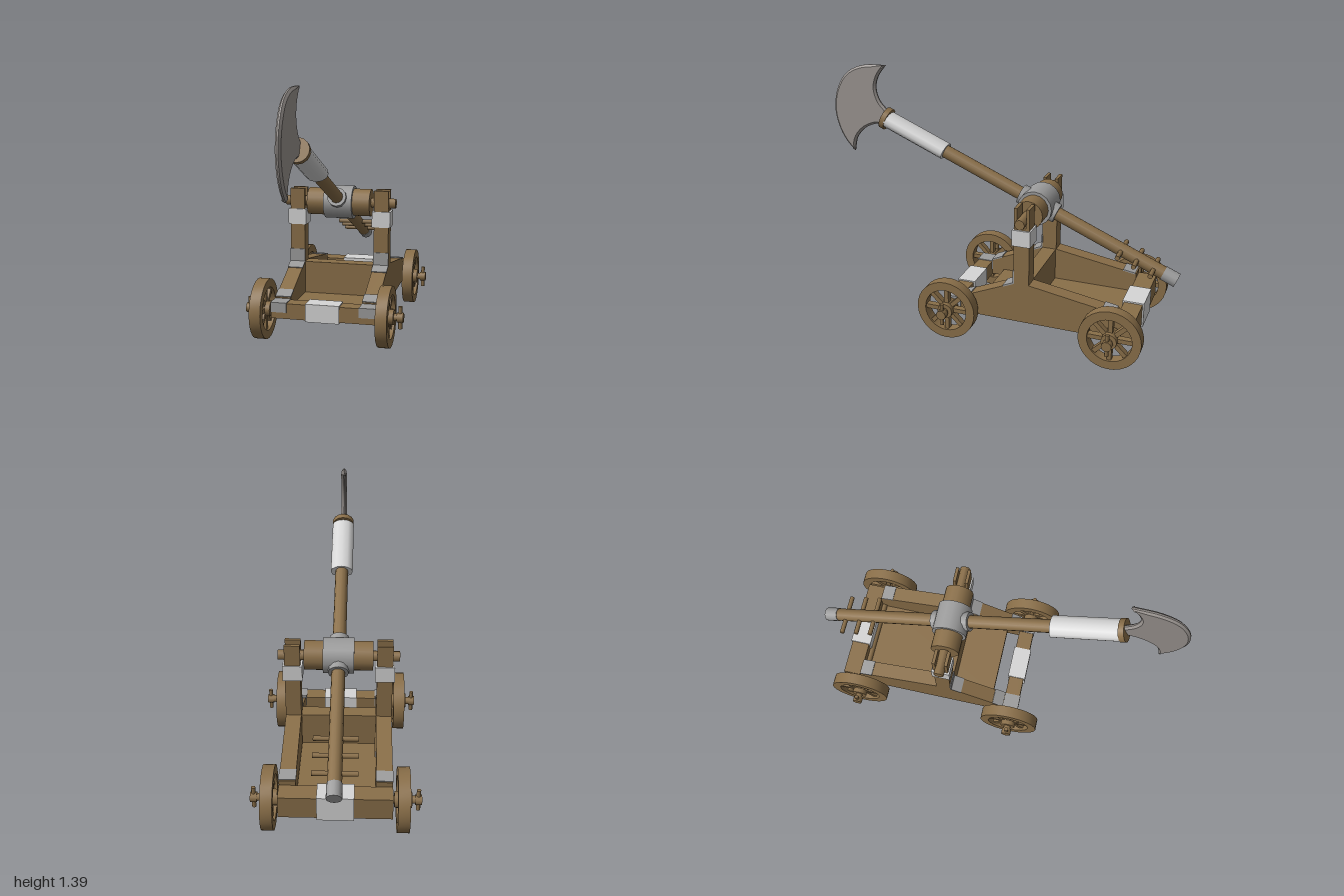
import * as THREE from 'three';
import { toCreasedNormals } from 'three/addons/utils/BufferGeometryUtils.js';

const mat = (name, color) => {
  const m = new THREE.MeshStandardMaterial({ color });
  m.name = name;
  return m;
};

export function createModel() {
  const wood = mat('wood', 0x8a6f49);
  const cloth = mat('pale wrap', 0xd6d6d6);
  const iron = mat('grey iron', 0x9c9c9c);
  const steel = mat('blade steel', 0x9b9591);
  const root = new THREE.Group();
  root.name = 'axeCatapult';

  const add = (name, geo, material, parent = root) => {
    const m = new THREE.Mesh(geo, material);
    m.name = name;
    parent.add(m);
    return m;
  };
  // Box from its limits on each axis
  const box = (name, x0, x1, y0, y1, z0, z1, material, parent = root) => {
    const m = add(name, new THREE.BoxGeometry(x1 - x0, y1 - y0, z1 - z0), material, parent);
    m.position.set((x0 + x1) / 2, (y0 + y1) / 2, (z0 + z1) / 2);
    return m;
  };
  // Cylinder along x between two limits
  const rodX = (name, x0, x1, y, z, r, sides, material, parent = root) => {
    const g = new THREE.CylinderGeometry(r, r, x1 - x0, sides).rotateZ(Math.PI / 2);
    const m = add(name, g, material, parent);
    m.position.set((x0 + x1) / 2, y, z);
    return m;
  };
  // Extrusion of a (z, y) outline, centred across x
  const extrudeX = (shape, width, options = {}) => {
    const g = new THREE.ExtrudeGeometry(shape, { depth: width, bevelEnabled: false, ...options });
    return g.translate(0, 0, -width / 2).rotateY(-Math.PI / 2);
  };
  const outline = (pts) => new THREE.Shape(pts.map(([z, y]) => new THREE.Vector2(z, y)));

  // Chassis: floor, cross board and end beams
  box('floor', -0.2, 0.2, 0.13, 0.17, -0.73, 0.055, wood);
  box('crossBoard', -0.2, 0.2, 0.15, 0.353, -0.26, -0.18, wood);
  box('frontBeam', -0.285, 0.285, 0.125, 0.21, 0.13, 0.215, wood);
  box('rearBeam', -0.285, 0.285, 0.13, 0.25, -0.83, -0.73, wood);
  box('frontBeamWrap', -0.093, 0.093, 0.118, 0.217, 0.122, 0.223, cloth);
  box('rearBeamWrap', -0.093, 0.093, 0.122, 0.258, -0.838, -0.722, cloth);

  // Side frames with a slotted post
  const frame = outline([
    [0.13, 0.13], [0.13, 0.22], [-0.178, 0.353], [-0.178, 0.78], [-0.195, 0.78], [-0.195, 0.675],
    [-0.245, 0.675], [-0.245, 0.78], [-0.262, 0.78], [-0.262, 0.353], [-0.73, 0.277], [-0.73, 0.13],
  ]);
  const plate = (name, x, y, z, length, tilt) => {
    const m = add(name, new THREE.BoxGeometry(0.088, 0.008, length), iron);
    m.position.set(x, y, z);
    m.rotation.x = tilt;
  };
  for (const s of [-1, 1]) {
    const x = s * 0.243;
    add('sideFrame', extrudeX(frame, 0.083), wood).position.x = x;
    box('postWrap', x - 0.052, x + 0.052, 0.573, 0.662, -0.27, -0.17, cloth);
    box('beamCornerPlate', x - 0.044, x + 0.044, 0.16, 0.214, 0.126, 0.219, iron);
    plate('postFootPlate', x, 0.39, -0.177, 0.075, Math.PI / 2);
    plate('slopeTopPlate', x, 0.341, -0.148, 0.065, 0.408);
    plate('slopeFootPlate', x, 0.235, 0.098, 0.065, 0.408);
    plate('rearSlopePlate', x, 0.284, -0.69, 0.07, -0.161);
  }

  // Wheels: rim, eight spokes, hub, axle cap and linchpin
  const rimShape = new THREE.Shape().absarc(0, 0, 0.165, 0, Math.PI * 2);
  rimShape.holes.push(new THREE.Path().absarc(0, 0, 0.118, 0, Math.PI * 2, true));
  const rimGeo = toCreasedNormals(extrudeX(rimShape, 0.062, { curveSegments: 16 }), 0.7);
  for (const z of [0.18, -0.722]) {
    rodX('axle', -0.42, 0.42, 0.166, z, 0.02, 12, wood);
    for (const s of [-1, 1]) {
      const wheel = new THREE.Group();
      wheel.name = 'wheel';
      wheel.position.set(s * 0.338, 0.166, z);
      root.add(wheel);
      add('rim', rimGeo, wood, wheel);
      for (let i = 0; i < 8; i++) {
        const a = (i * Math.PI) / 4;
        const spoke = add('spoke', new THREE.BoxGeometry(0.036, 0.1, 0.024), wood, wheel);
        spoke.position.set(0, 0.077 * Math.cos(a), 0.077 * Math.sin(a));
        spoke.rotation.x = a;
      }
      rodX('hub', -0.044, 0.044, 0, 0, 0.042, 12, wood, wheel);
      const cap = rodX('axleCap', -0.017, 0.017, 0, 0, 0.027, 10, wood, wheel);
      cap.position.x = s * 0.077;
      const pin = add('linchpin', new THREE.CylinderGeometry(0.011, 0.011, 0.122, 8), wood, wheel);
      pin.position.x = s * 0.077;
    }
  }

  // Pivot roller on the posts
  const py = 0.705, pz = -0.22;
  rodX('rollerShaft', -0.32, 0.32, py, pz, 0.028, 8, wood);
  rodX('roller', -0.18, 0.18, py, pz, 0.078, 16, wood);
  rodX('rollerBand', -0.081, 0.081, py, pz, 0.095, 16, iron);

  // Swinging arm, local z running along the shaft
  const arm = new THREE.Group();
  arm.name = 'arm';
  arm.position.set(0, py, pz);
  arm.rotation.x = -0.403;
  root.add(arm);
  const along = (name, t0, t1, r, sides, material) => {
    const g = new THREE.CylinderGeometry(r, r, t1 - t0, sides).rotateX(Math.PI / 2);
    const m = add(name, g, material, arm);
    m.position.z = (t0 + t1) / 2;
    return m;
  };
  along('shaft', -0.8, 0.97, 0.036, 12, wood);
  along('shaftEndCap', -0.83, -0.75, 0.039, 12, iron);
  along('pivotCollar', -0.112, 0.112, 0.054, 12, iron);
  along('shaftWrap', 0.59, 0.965, 0.062, 12, cloth).scale.y = 0.72;
  along('bladeRing', 0.96, 0.99, 0.062, 14, wood);
  for (const t of [-0.505, -0.6, -0.697]) rodX('peg', -0.113, 0.113, 0, t, 0.013, 8, wood, arm);

  // Crescent blade with bevelled edges
  const v = (pts) => pts.map(([z, y]) => new THREE.Vector2(z, y));
  const blade = new THREE.Shape();
  blade.moveTo(0.668, 1.387);
  blade.splineThru(v([[0.717, 1.32], [0.733, 1.251], [0.711, 1.182], [0.66, 1.128]]));
  blade.lineTo(0.635, 1.085);
  blade.lineTo(0.66, 1.052);
  blade.splineThru(v([[0.7, 1.055], [0.754, 1.048], [0.818, 1.016], [0.868, 0.957], [0.888, 0.877]]));
  blade.splineThru(v([[0.941, 0.936], [0.979, 1.01], [0.999, 1.11], [0.979, 1.225],
    [0.914, 1.326], [0.807, 1.378], [0.668, 1.387]]));
  add('blade', extrudeX(blade, 0.008, {
    curveSegments: 5, bevelEnabled: true, bevelThickness: 0.01,
    bevelSize: 0.012, bevelOffset: -0.012, bevelSegments: 1,
  }), steel);

  return root;
}
